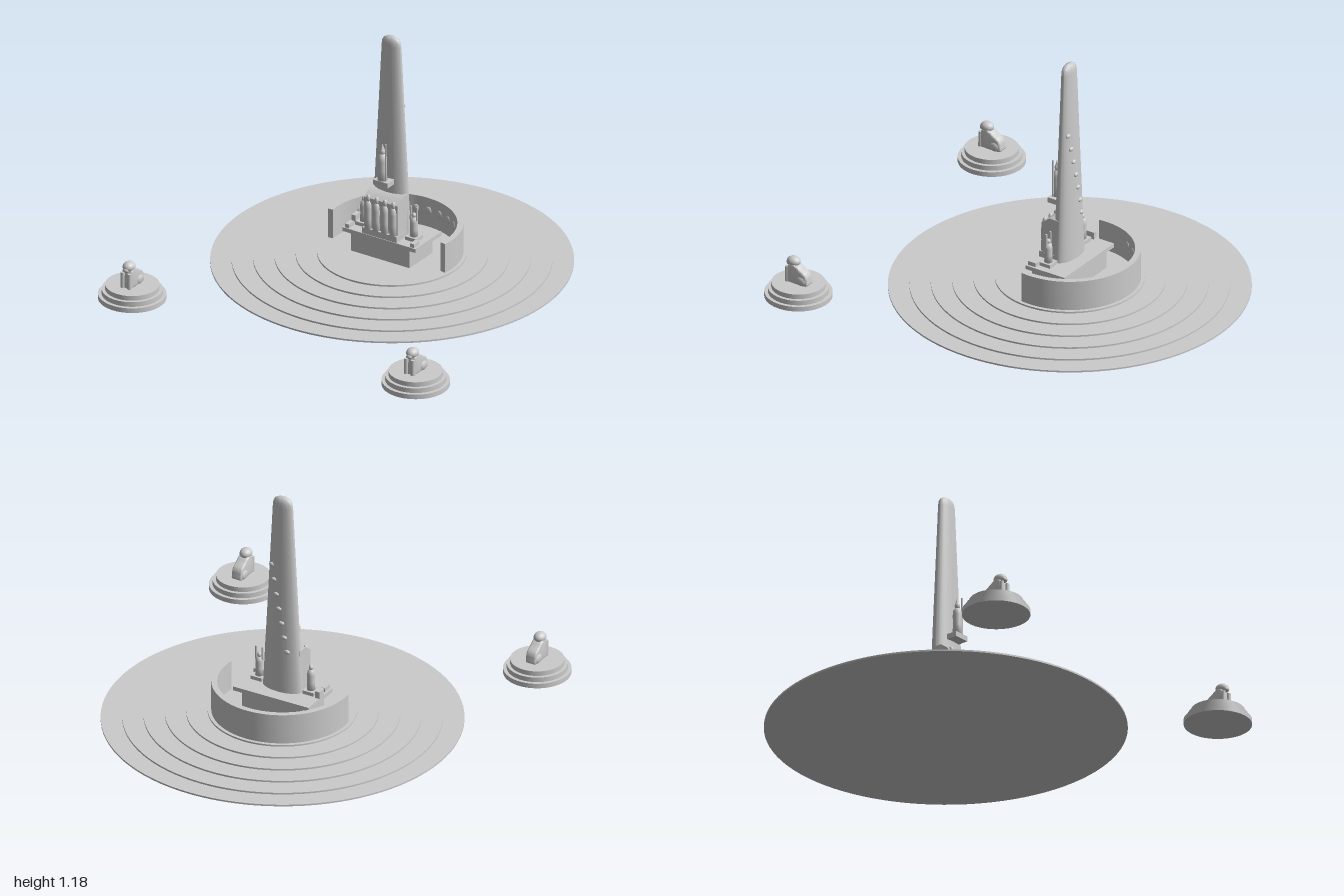
import * as THREE from 'three';
import { toCreasedNormals } from 'three/addons/utils/BufferGeometryUtils.js';

const mat = new THREE.MeshStandardMaterial({ color: 0xcccccc });
const CZ = -0.15; // centre of the terrace

function add(parent, name, geo, x = 0, y = 0, z = 0) {
  const m = new THREE.Mesh(geo, mat);
  m.name = name;
  m.position.set(x, y, z);
  parent.add(m);
  return m;
}
function box(parent, name, x0, x1, y0, y1, z0, z1) {
  return add(parent, name, new THREE.BoxGeometry(x1 - x0, y1 - y0, z1 - z0),
    (x0 + x1) / 2, (y0 + y1) / 2, (z0 + z1) / 2);
}
function cyl(parent, name, rTop, rBottom, y0, y1, x, z, seg = 20) {
  return add(parent, name, new THREE.CylinderGeometry(rTop, rBottom, y1 - y0, seg), x, (y0 + y1) / 2, z);
}
function ball(parent, name, x, y, z, rx, ry = rx, rz = rx) {
  const m = add(parent, name, new THREE.SphereGeometry(1, 20, 14), x, y, z);
  m.scale.set(rx, ry, rz);
  return m;
}
// Side profile given as [z, y] points, extruded symmetrically across x
function sideExtrude(points, width, smooth = false) {
  const pts = points.map(p => new THREE.Vector2(...p));
  const shape = new THREE.Shape(smooth ? new THREE.SplineCurve([...pts, pts[0]]).getPoints(48).slice(0, -1) : pts);
  const b = smooth ? 0.008 : 0;
  const geo = new THREE.ExtrudeGeometry(shape, {
    depth: width - 2 * b, bevelEnabled: smooth, bevelSize: b, bevelThickness: b, bevelOffset: -b, bevelSegments: 3
  });
  geo.translate(0, 0, b - width / 2).rotateY(-Math.PI / 2);
  return toCreasedNormals(geo, 0.7);
}
// Robed standing figure
function figure(parent, name, x, y, z, h, r) {
  const g = new THREE.Group();
  g.name = name;
  const profile = [[0, 0], [r, 0], [r * 0.9, 0.3], [r * 0.95, 0.6], [r * 0.85, 0.74], [r * 0.35, 0.82], [0, 0.83]]
    .map(([a, b]) => new THREE.Vector2(a, b * h));
  add(g, 'robe', new THREE.LatheGeometry(profile, 20));
  ball(g, 'head', 0, h * 0.89, 0, r * 0.55, h * 0.11, r * 0.55);
  g.position.set(x, y, z);
  parent.add(g);
  return g;
}

export function createModel() {
  const root = new THREE.Group();
  root.name = 'monument';

  // Round stepped terrace
  const step = 0.05 / 6;
  for (let i = 0; i < 6; i++) {
    const r = 0.85 - i * 0.1;
    cyl(root, 'terraceStep', r, r, i * step, (i + 1) * step, 0, CZ, 96);
  }

  // Curved wall, a little over half a circle
  const over = 0.14, arc = new THREE.Shape();
  arc.absarc(0, 0, 0.333, -over, Math.PI + over, false);
  arc.absarc(0, 0, 0.305, Math.PI + over, -over, true);
  const wall = new THREE.ExtrudeGeometry(arc, { depth: 0.15, bevelEnabled: false, curveSegments: 64 });
  wall.rotateX(-Math.PI / 2);
  add(root, 'curvedWall', toCreasedNormals(wall, 0.5), 0, 0.05, CZ);

  // Medallions along the inside of the wall
  for (let i = -5; i <= 5; i++) {
    const a = i * 0.218;
    const m = ball(root, 'medallion', 0.305 * Math.sin(a), 0.134, CZ - 0.305 * Math.cos(a), 0.017, 0.02, 0.006);
    m.rotation.y = -a;
  }

  // Pedestal with overhanging slab
  box(root, 'pedestal', -0.165, 0.165, 0.05, 0.148, -0.245, -0.05);
  box(root, 'pedestalSlab', -0.205, 0.205, 0.145, 0.165, -0.26, -0.04);

  // Tapered oval tower with rounded top
  const profile = [[0, 0.165], [0.104, 0.165], [0.078, 0.65], [0.053, 1.13], [0.05, 1.152], [0.042, 1.167], [0.026, 1.177], [0, 1.18]]
    .map(p => new THREE.Vector2(...p));
  add(root, 'tower', toCreasedNormals(new THREE.LatheGeometry(profile, 48), 0.7), 0, 0, -0.146).scale.z = 0.48;

  // Studs climbing diagonally across the back of the tower
  for (let i = 0; i < 7; i++) {
    const y = 0.82 - i * 0.073, x = 0.045 - i * 0.015;
    const rx = 0.104 - (y - 0.165) * 0.0528;
    const z = -0.146 - 0.48 * Math.sqrt(rx * rx - x * x);
    ball(root, 'towerStud', x, y, z, 0.015, 0.011, 0.009);
  }

  // Block with sloped shoulder and four figures in front of the tower
  add(root, 'frontBlock', sideExtrude([[-0.15, 0.165], [-0.056, 0.165], [-0.056, 0.35], [-0.1, 0.382], [-0.15, 0.382]], 0.19));
  box(root, 'frontBlockBase', -0.097, 0.097, 0.165, 0.195, -0.15, -0.043);
  for (const x of [-0.07, -0.0235, 0.0235, 0.07]) figure(root, 'frontFigure', x, 0.195, -0.057, 0.172, 0.019);

  // Standing figure with staff on a high bracket
  box(root, 'bracket', -0.04, 0.04, 0.43, 0.456, -0.115, -0.052);
  figure(root, 'highFigure', -0.004, 0.456, -0.076, 0.165, 0.023);
  add(root, 'highFigureHat', new THREE.ConeGeometry(0.011, 0.035, 16), -0.004, 0.628, -0.076);
  cyl(root, 'staff', 0.004, 0.004, 0.456, 0.65, 0.02, -0.068, 8);

  // Statues standing either side of the tower
  for (const s of [-1, 1]) {
    box(root, 'sideBase', s * 0.14 - 0.03, s * 0.14 + 0.03, 0.165, 0.183, -0.155, -0.095);
    box(root, 'cornerBlock', s * 0.183 - 0.011, s * 0.183 + 0.011, 0.165, 0.185, -0.09, -0.045);
  }
  box(root, 'edgeBlock', -0.205, -0.183, 0.165, 0.2, -0.16, -0.115);
  figure(root, 'rightStatue', -0.14, 0.183, -0.125, 0.13, 0.02);
  figure(root, 'leftStatue', 0.14, 0.183, -0.125, 0.12, 0.02);
  for (const s of [-1, 1]) cyl(root, 'raisedArm', 0.005, 0.006, 0.265, 0.333, 0.14 + s * 0.017, -0.125, 10);

  // Seated lions on round stepped bases
  const lionBody = sideExtrude([[0.055, 0], [0.052, 0.05], [0.045, 0.09], [0.015, 0.1], [-0.02, 0.078], [-0.05, 0.058], [-0.06, 0.03], [-0.052, 0]], 0.054, true);
  for (const s of [-1, 1]) {
    const g = new THREE.Group();
    g.name = 'guardian';
    [0.16, 0.143, 0.127].forEach((r, i) => cyl(g, 'baseStep', r, r, i * 0.024, (i + 1) * 0.024, 0, 0, 64));
    add(g, 'body', lionBody, 0, 0.07, -0.002);
    for (const t of [-1, 1]) {
      cyl(g, 'foreleg', 0.01, 0.011, 0.072, 0.15, t * 0.019, 0.051, 14);
      ball(g, 'haunch', t * 0.023, 0.092, -0.03, 0.011, 0.024, 0.027);
    }
    ball(g, 'head', 0, 0.175, 0.026, 0.029, 0.025, 0.034);
    ball(g, 'muzzle', 0, 0.165, 0.049, 0.016, 0.014, 0.016);
    g.position.set(s * 0.797, 0, 0.84);
    root.add(g);
  }
  return root;
}
